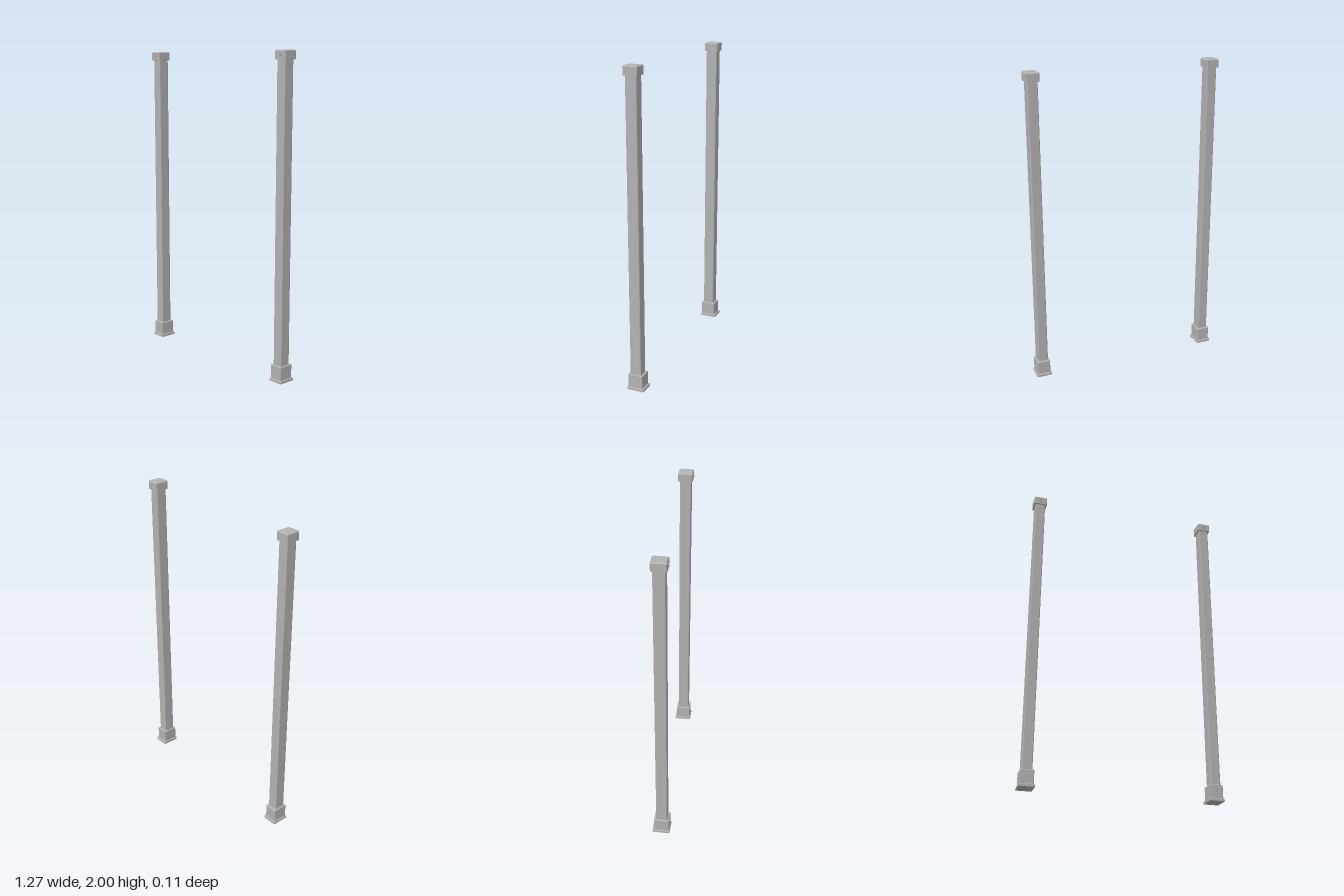
import * as THREE from 'three';

const grey = new THREE.MeshStandardMaterial({ color: 0xb2b2b2 });
grey.name = 'grey metal';

// Upright block with rounded corners, standing on y0, with an optional chamfer on its top edge
function block(name, w, d, y0, y1, r, chamfer = 0, z = 0) {
  const section = (inset) => {
    const pts = [];
    const hx = w / 2 - r, hz = d / 2 - r, rr = Math.max(r - inset, 0.001);
    const k = r - inset - rr;
    [[1, 1], [-1, 1], [-1, -1], [1, -1]].forEach(([sx, sz], q) => {
      for (let i = 0; i <= 3; i++) {
        const a = (q + i / 3) * Math.PI / 2;
        pts.push([sx * (hx + k) + rr * Math.cos(a), sz * (hz + k) + rr * Math.sin(a)]);
      }
    });
    return pts;
  };
  const rings = [[y0, 0], [y1 - chamfer, 0]];
  if (chamfer) rings.push([y1, chamfer]);
  const loops = rings.map(([y, inset]) => section(inset).map(([x, zz]) => new THREE.Vector3(x, y, zz + z)));
  const pos = [];
  const tri = (...vs) => vs.forEach((v) => pos.push(v.x, v.y, v.z));
  const n = loops[0].length;
  for (let i = 0; i < n; i++) {
    const j = (i + 1) % n;
    for (let l = 0; l + 1 < loops.length; l++) {
      const a = loops[l], b = loops[l + 1];
      tri(a[i], b[i], b[j]);
      tri(a[i], b[j], a[j]);
    }
    const top = loops[loops.length - 1];
    tri(new THREE.Vector3(0, y1, z), top[j], top[i]);
    tri(new THREE.Vector3(0, y0, z), loops[0][i], loops[0][j]);
  }
  const geo = new THREE.BufferGeometry();
  geo.setAttribute('position', new THREE.Float32BufferAttribute(pos, 3));
  geo.computeVertexNormals();
  const mesh = new THREE.Mesh(geo, grey);
  mesh.name = name;
  return mesh;
}

// Socket screw facing forward: a ring-shaped head with a recessed hexagonal socket
function screw(name, y, z, radius, depth) {
  const shape = new THREE.Shape().absarc(0, 0, radius, 0, Math.PI * 2);
  const hex = new THREE.Path();
  for (let i = 0; i < 6; i++) {
    const a = -i * Math.PI / 3, s = radius * 0.5;
    hex[i ? 'lineTo' : 'moveTo'](s * Math.cos(a), s * Math.sin(a));
  }
  hex.closePath();
  shape.holes.push(hex);
  const geo = new THREE.ExtrudeGeometry(shape, { depth, bevelEnabled: false, curveSegments: 16 });
  const mesh = new THREE.Mesh(geo, grey);
  mesh.name = name;
  mesh.position.set(0, y, z);
  return mesh;
}

function createPost(name) {
  const post = new THREE.Group();
  post.name = name;
  post.add(
    block('basePlate', 0.097, 0.112, 0, 0.018, 0.005, 0.004),
    block('baseSocket', 0.084, 0.097, 0.016, 0.104, 0.005, 0.004, 0.002),
    block('postTube', 0.065, 0.073, 0.1, 1.95, 0.007, 0, 0.003),
    block('topCap', 0.084, 0.093, 1.945, 2, 0.007, 0.006, 0.003),
    screw('capScrew', 1.972, 0.048, 0.009, 0.007),
    screw('baseScrew', 0.066, 0.049, 0.007, 0.006)
  );
  return post;
}

export function createModel() {
  const model = new THREE.Group();
  model.name = 'postPair';
  for (const side of [-1, 1]) {
    const post = createPost(side > 0 ? 'leftPost' : 'rightPost');
    post.position.x = side * 0.588;
    model.add(post);
  }
  return model;
}
